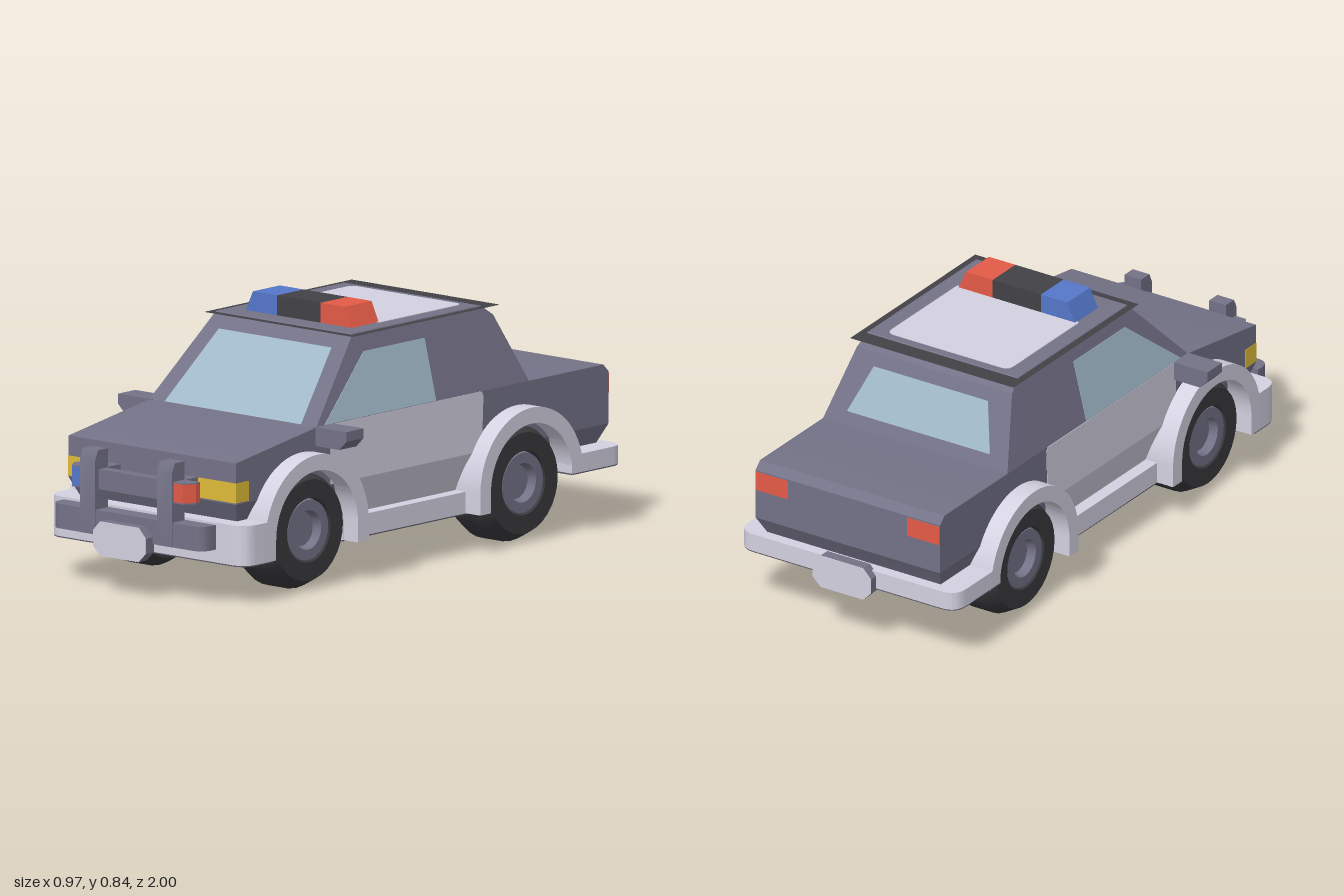
import * as THREE from 'three';
import { toCreasedNormals } from 'three/addons/utils/BufferGeometryUtils.js';

const mat = (name, color) => Object.assign(new THREE.MeshStandardMaterial({ color }), { name });

export function createModel() {
  const car = new THREE.Group();
  car.name = 'patrolCar';
  const paint = mat('slatePaint', 0x747287), light = mat('lightGreyPanel', 0xd4d1e1);
  const glass = mat('glass', 0xa0b8c8), dark = mat('darkTrim', 0x424146);
  const rubber = mat('rubber', 0x39383c), under = mat('undersideGrey', 0x5c5a68);
  const yellow = mat('yellowLamp', 0xdfbc39), red = mat('redLamp', 0xe45b47);
  const blue = mat('blueLamp', 0x5577ca);
  dark.side = THREE.DoubleSide;

  const add = (name, geo, material, parent = car) => {
    const m = new THREE.Mesh(toCreasedNormals(geo, 0.5), material);
    m.name = name;
    parent.add(m);
    return m;
  };
  // Accepts a ready shape or a list of points
  const poly = pts => pts instanceof THREE.Shape
    ? pts : new THREE.Shape(pts.map(p => new THREE.Vector2(...p)));
  const extrude = (pts, depth) =>
    new THREE.ExtrudeGeometry(poly(pts), { depth, bevelEnabled: false, curveSegments: 28 });

  // Side outline of [z, y] points, swept across x with a half width depending on y
  const slab = (pts, halfWidth) => {
    const g = extrude(pts, 2);
    g.rotateY(-Math.PI / 2).translate(1, 0, 0);
    const p = g.attributes.position;
    for (let i = 0; i < p.count; i++) p.setX(i, p.getX(i) * halfWidth(p.getY(i)));
    return g;
  };
  // Front outline of [x, y] points, from z0 to z1
  const face = (pts, z0, z1) => extrude(pts, z1 - z0).translate(0, 0, z0);
  // Plan outline of [x, -z] points, from y0 to y1
  const flat = (pts, y0, y1) => extrude(pts, y1 - y0).rotateX(-Math.PI / 2).translate(0, y0, 0);
  // Plan rectangle with rounded back and front corners
  const plan = (w, zb, zf, rb, rf, y0, y1) => {
    const s = new THREE.Shape();
    s.moveTo(-w, -zf + rf).quadraticCurveTo(-w, -zf, -w + rf, -zf);
    s.lineTo(w - rf, -zf).quadraticCurveTo(w, -zf, w, -zf + rf);
    s.lineTo(w, -zb - rb).quadraticCurveTo(w, -zb, w - rb, -zb);
    s.lineTo(-w + rb, -zb).quadraticCurveTo(-w, -zb, -w, -zb - rb);
    return flat(s, y0, y1);
  };
  const box = (x0, x1, y0, y1, z0, z1) =>
    new THREE.BoxGeometry(x1 - x0, y1 - y0, z1 - z0)
      .translate((x0 + x1) / 2, (y0 + y1) / 2, (z0 + z1) / 2);

  // Body: straight flanks above, tucked in below, tapering cabin
  const tuck = y => 0.355 - (0.32 - y) * 0.35;
  const cabinW = y => 0.355 - (y - 0.515) * 0.25;
  add('body', slab([[0.84, 0.455], [0.45, 0.515], [-0.94, 0.515], [-0.965, 0.49],
    [-0.965, 0.32], [0.84, 0.32]], () => 0.355), paint);
  add('lowerBody', slab([[0.84, 0.32], [-0.965, 0.32], [-0.93, 0.26], [-0.9, 0.2],
    [0.78, 0.2], [0.81, 0.26]], tuck), paint);
  add('cabin', slab([[0.45, 0.515], [0.2, 0.775], [-0.42, 0.775], [-0.47, 0.74],
    [-0.58, 0.515]], cabinW), paint);

  // Underside
  add('underbody', slab([[0.8, 0.127], [0.8, 0.2], [-0.9, 0.2], [-0.9, 0.197],
    [-0.7, 0.197], [-0.6, 0.127]], () => 0.31), under);
  add('sillUnderside', box(-0.357, 0.357, 0.126, 0.131, -0.325, 0.325), under);
  add('frontUnderside', plan(0.419, 0.735, 0.869, 0, 0.06, 0.126, 0.131), under);
  add('rearUnderside', plan(0.419, -0.969, -0.715, 0.06, 0, 0.196, 0.201), under);

  // Door panels
  add('doors', slab([[0.38, 0.515], [-0.35, 0.515], [-0.358, 0.5], [-0.35, 0.32], [0.38, 0.32]],
    () => 0.3565), light);
  add('lowerDoors', slab([[0.34, 0.32], [-0.34, 0.32], [-0.34, 0.2], [0.34, 0.2]],
    y => tuck(y) + 0.0015), light);

  // Windows, standing just proud of the cabin
  add('sideWindows', slab([[0.41, 0.517], [0.165, 0.715], [-0.13, 0.715], [-0.13, 0.517]],
    y => cabinW(y) + 0.0015), glass);
  const shield = y => 0.452 - (y - 0.515) * 0.9615;
  add('windshield', slab([[shield(0.517), 0.517], [shield(0.73), 0.73],
    [shield(0.73) - 0.008, 0.73], [shield(0.517) - 0.008, 0.517]],
    y => 0.29 - (y - 0.515) * 0.235), glass);
  const back = y => -0.582 + (y - 0.515) * 0.489;
  add('rearWindow', slab([[back(0.555), 0.555], [back(0.7), 0.7],
    [back(0.7) + 0.008, 0.7], [back(0.555) + 0.008, 0.555]],
    y => 0.275 - (y - 0.555) * 0.38), glass);

  // Roof trim, roof panel and light bar
  add('roofTrim', new THREE.PlaneGeometry(0.63, 0.715).rotateX(-Math.PI / 2)
    .translate(0, 0.772, -0.1275), dark);
  add('roofPanel', plan(0.235, -0.395, 0.01, 0.03, 0.01, 0.772, 0.777), light);
  const lampEnd = s => [[s * 0.093, 0.775], [s * 0.225, 0.775], [s * 0.195, 0.84], [s * 0.093, 0.84]];
  add('blueBeacon', face(lampEnd(-1), 0, 0.13), blue);
  add('redBeacon', face(lampEnd(1), 0, 0.13), red);
  add('beaconCentre', box(-0.093, 0.093, 0.775, 0.84, 0, 0.13), dark);

  // Bumpers
  add('frontBumper', plan(0.42, 0.735, 0.87, 0, 0.06, 0.13, 0.26), light);
  add('rearBumper', plan(0.42, -0.97, -0.715, 0.06, 0, 0.2, 0.26), light);

  // Wheel arch outline around z; front and rear feet may end at different heights
  const arch = (z, footFront, footRear) => {
    const s = new THREE.Shape(), y = 0.195, R = 0.25, r = 0.198;
    s.moveTo(z + R, footFront).lineTo(z + R, y).absarc(z, y, R, 0, Math.PI, false);
    s.lineTo(z - R, footRear).lineTo(z - r, footRear).lineTo(z - r, y);
    s.absarc(z, y, r, Math.PI, 0, true);
    s.lineTo(z + r, footFront);
    return s;
  };
  // Lathe profiles as [radius, distance from the car's centre line]
  const lathe = pts => new THREE.LatheGeometry(pts.map(p => new THREE.Vector2(...p)), 32)
    .rotateZ(-Math.PI / 2);
  const tyre = [[0, 0.195], [0.165, 0.195], [0.195, 0.25], [0.195, 0.33], [0.165, 0.385],
    [0.105, 0.385], [0.1, 0.35]];
  const hub = [[0.103, 0.36], [0.098, 0.381], [0.064, 0.381], [0.056, 0.352], [0, 0.352]];

  for (const s of [1, -1]) {
    const side = s > 0 ? 'left' : 'right';
    const span = (a, b, ...rest) => box(Math.min(s * a, s * b), Math.max(s * a, s * b), ...rest);

    for (const [end, z, footRear] of [['Front', 0.52, 0.13], ['Rear', -0.52, 0.2]]) {
      const wheel = new THREE.Group();
      wheel.name = side + end + 'Wheel';
      wheel.position.set(0, 0.195, z);
      wheel.rotation.y = s > 0 ? 0 : Math.PI;
      add('tyre', lathe(tyre), rubber, wheel);
      add('hub', lathe(hub), paint, wheel);
      car.add(wheel);
      add(side + end + 'Arch',
        slab(arch(z, 0.13, footRear), () => 0.06).translate(s * 0.36, 0, 0), light);
    }
    add(side + 'Sill', span(0.3, 0.358, 0.13, 0.2, -0.325, 0.325), light);
    add(side + 'Mirror', face([[s * 0.34, 0.455], [s * 0.455, 0.455], [s * 0.485, 0.485],
      [s * 0.485, 0.517], [s * 0.34, 0.517]], 0.37, 0.453), paint);
    add(side + 'Headlight', span(0.195, 0.3565, 0.325, 0.39, 0.778, 0.8415), yellow);
    add(side + 'TailLight', span(0.23, 0.3545, 0.42, 0.485, -0.967, -0.96), red);
    add(side + 'UnderBox', span(0.1, 0.197, 0.105, 0.13, 0, 0.13), dark);

    // Push bar uprights, struts and capped lamps
    add(side + 'Upright', slab([[0.905, 0.18], [0.967, 0.18], [0.967, 0.42], [0.952, 0.452],
      [0.905, 0.452]], () => 0.032).translate(s * 0.163, 0, 0), paint);
    add(side + 'Strut', span(0.135, 0.192, 0.33, 0.39, 0.83, 0.91), paint);
    const lamp = [[s * 0.19, -0.905], [s * 0.26, -0.905], [s * 0.26, -0.925],
      [s * 0.235, -0.96], [s * 0.19, -0.96]];
    add(side + 'GuardLamp', flat(lamp, 0.327, 0.388), s > 0 ? red : blue);
    add(side + 'GuardLampCap', flat(lamp, 0.388, 0.392), paint);
    add(side + 'GuardLampBase', flat(lamp, 0.323, 0.327), paint);
  }
  add('guardCrossbar', box(-0.135, 0.135, 0.325, 0.39, 0.91, 0.95), paint);
  add('guardLowerBar', plan(0.323, 0.9, 0.965, 0, 0.045, 0.18, 0.26), paint);

  // Blank octagonal plates: slate backing with a light face
  const octagon = y => [[-0.112, 0.03], [-0.082, 0], [0.082, 0], [0.112, 0.03],
    [0.112, 0.08], [0.082, 0.112], [-0.082, 0.112], [-0.112, 0.08]].map(p => [p[0], p[1] + y]);
  add('frontPlateBacking', face(octagon(0.122), 0.96, 0.998), paint);
  add('frontPlate', face(octagon(0.122), 0.998, 1), light);
  add('rearPlateBacking', face(octagon(0.163), -0.998, -0.96), paint);
  add('rearPlate', face(octagon(0.163), -1, -0.998), light);
  return car;
}
